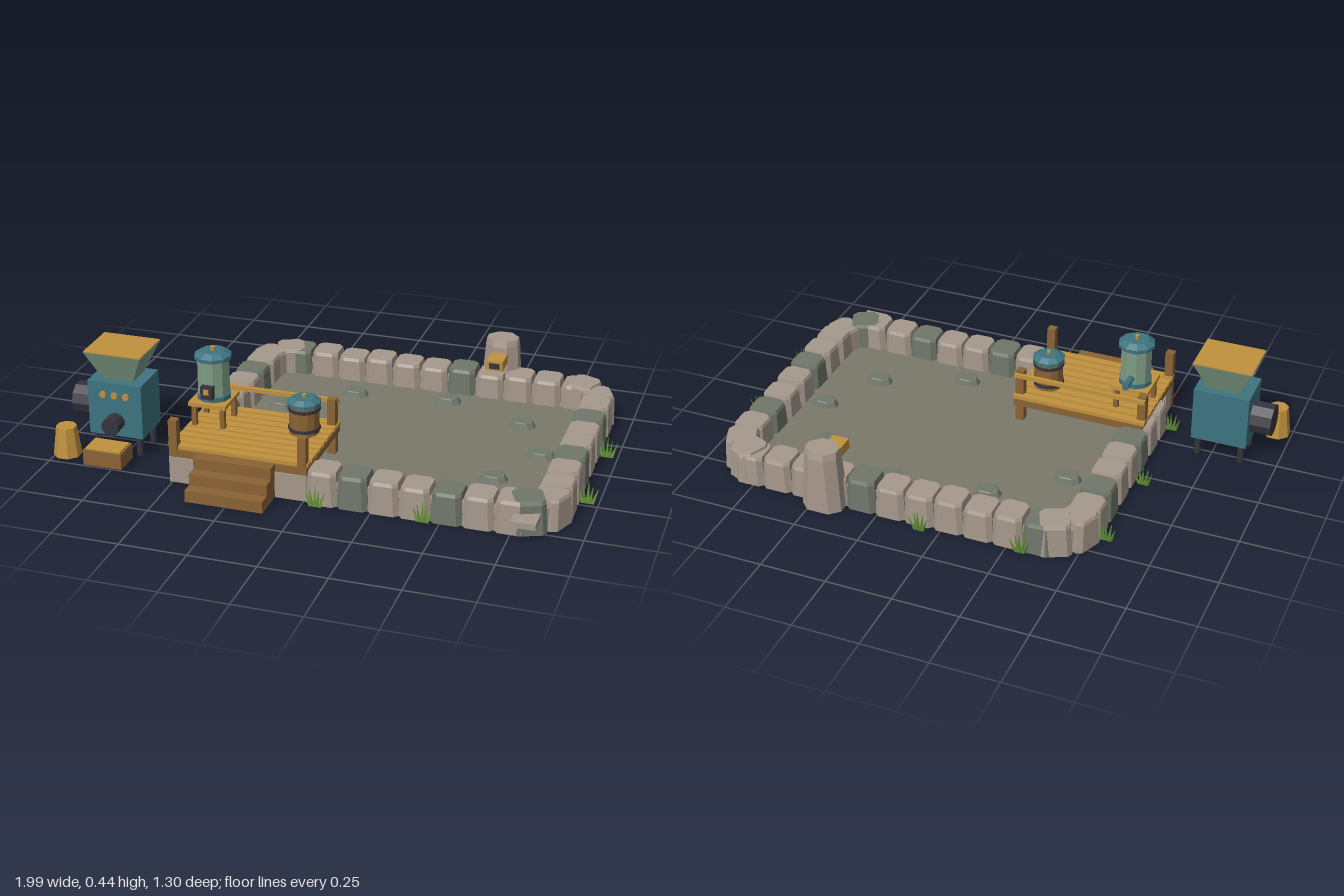
import * as THREE from 'three';

const mat = (name, color, extra = {}) => {
  const m = new THREE.MeshStandardMaterial({ color, flatShading: true, ...extra });
  m.name = name;
  return m;
};

// Closed solid from stacked rings, listed bottom to top; each ring runs anticlockwise seen from above.
function loft(rings) {
  const pos = [];
  const tri = (...pts) => pts.forEach((p) => pos.push(...p));
  const n = rings[0].length;
  for (let r = 0; r < rings.length - 1; r++) {
    const a = rings[r], b = rings[r + 1];
    for (let i = 0; i < n; i++) {
      const j = (i + 1) % n;
      tri(a[i], a[j], b[j]);
      tri(a[i], b[j], b[i]);
    }
  }
  const lo = rings[0], hi = rings[rings.length - 1];
  for (let i = 1; i < n - 1; i++) {
    tri(hi[0], hi[i], hi[i + 1]);
    tri(lo[0], lo[i + 1], lo[i]);
  }
  const g = new THREE.BufferGeometry();
  g.setAttribute('position', new THREE.Float32BufferAttribute(pos, 3));
  g.computeVertexNormals();
  return g;
}

// Rectangle with cut corners at height y
function cutRect(w, d, y, c) {
  const x = w / 2, z = d / 2;
  return [[x, y, z - c], [x, y, -z + c], [x - c, y, -z], [-x + c, y, -z],
    [-x, y, -z + c], [-x, y, z - c], [-x + c, y, z], [x - c, y, z]];
}

const stoneGeo = (w, d, h, taper, cut) => loft([
  cutRect(w, d, 0, cut),
  cutRect(w * taper, d * (taper + 0.05), h * 0.9, cut),
  cutRect(w * (taper - 0.04), d * (taper - 0.04), h, cut),
]);

// Rounded rectangle in plan, y of the shape = -z
function roundRect(x0, x1, z0, z1, r) {
  const s = new THREE.Shape();
  s.absarc(x1 - r, -z0 - r, r, 0, Math.PI / 2);
  s.absarc(x0 + r, -z0 - r, r, Math.PI / 2, Math.PI);
  s.absarc(x0 + r, -z1 + r, r, Math.PI, Math.PI * 1.5);
  s.absarc(x1 - r, -z1 + r, r, Math.PI * 1.5, Math.PI * 2);
  s.closePath();
  return s;
}
const slab = (shape, h) => new THREE.ExtrudeGeometry(shape, { depth: h, bevelEnabled: false, curveSegments: 4 }).rotateX(-Math.PI / 2);

export function createModel() {
  const model = new THREE.Group();
  model.name = 'pond';
  const stone = mat('light stone', 0xa6988c), moss = mat('mossy stone', 0x70776a), bed = mat('pond bed', 0x7b796b);
  const wood = mat('brown wood', 0x8b6335), plank = mat('golden wood', 0xc0913d);
  const teal = mat('teal paint', 0x3d7480), sage = mat('sage metal', 0x7f9c84), dark = mat('dark metal', 0x35343e);
  const green = mat('grass green', 0x5f8d36, { side: THREE.DoubleSide });

  const add = (name, geo, material, x = 0, y = 0, z = 0, parent = model) => {
    const m = new THREE.Mesh(geo, material);
    m.name = name;
    m.position.set(x, y, z);
    parent.add(m);
    return m;
  };
  // Box by its limits
  const box = (name, material, x0, x1, y0, y1, z0, z1, parent) =>
    add(name, new THREE.BoxGeometry(x1 - x0, y1 - y0, z1 - z0), material, (x0 + x1) / 2, (y0 + y1) / 2, (z0 + z1) / 2, parent);
  // Upright cylinder by its bottom and top heights
  const drum = (name, material, x, z, y0, y1, r0, r1 = r0, n = 8, parent = model) =>
    add(name, new THREE.CylinderGeometry(r1, r0, y1 - y0, n).rotateY(Math.PI / n), material, x, (y0 + y1) / 2, z, parent);
  const group = (name) => {
    const g = new THREE.Group();
    g.name = name;
    model.add(g);
    return g;
  };

  // Pond bed and the core of the rim
  add('pondBed', slab(roundRect(-0.5, 0.89, -0.55, 0.5, 0.13), 0.025), bed);
  const core = roundRect(-0.515, 0.905, -0.565, 0.515, 0.14);
  core.holes.push(roundRect(-0.445, 0.835, -0.495, 0.445, 0.08));
  add('rimCore', slab(core, 0.09), stone);

  // Rim stones
  const rim = group('rimStones');
  const P = 0.1133;
  let count = 0;
  const rimStone = (x, z, turn, mossy, w = 0.118) => {
    const h = 0.122 + 0.005 * Math.sin(count++ * 2.4);
    add('rimStone', stoneGeo(w, 0.125, h, 0.88, 0.018), mossy ? moss : stone, x, 0, z, rim).rotation.y = turn;
  };
  for (let i = 0; i < 11; i++) rimStone(-0.364 + P * i, -0.53, 0, i === 0 || i === 6);
  for (let i = 0; i < 7; i++) {
    rimStone(0.067 + P * i, 0.475, 0, i === 1 || i === 4);
    rimStone(0.87, -0.358 + P * i, Math.PI / 2, i === 1 || i === 4);
    rimStone(-0.48, -0.383 + P * i, Math.PI / 2, i === 1 || i === 4);
  }
  for (const [cx, cz, start] of [[0.75, -0.41, -90], [-0.36, -0.41, 180], [0.75, 0.355, 0]]) {
    for (const a of [22.5, 67.5]) {
      const t = THREE.MathUtils.degToRad(start + a), c = Math.cos(t), s = Math.sin(t);
      rimStone(cx + 0.12 * c, cz + 0.12 * s, Math.atan2(c, s), start === 0 && a > 45, 0.125);
    }
  }
  box('deckFoundation', stone, -0.51, 0.01, 0, 0.1, 0.42, 0.52);
  box('overflowSlab', stone, 0.76, 0.85, 0.063, 0.085, 0.47, 0.595);

  // Stones lying on the bed
  for (const [x, z] of [[-0.08, -0.345], [0.285, -0.39], [0.61, -0.265], [-0.32, -0.155], [0.735, -0.03], [0.61, 0.2], [0.285, 0.325]])
    add('bedStone', stoneGeo(0.105, 0.07, 0.025, 0.8, 0.02), moss, x, 0.024, z);

  // Pillar with its spout
  add('pillar', stoneGeo(0.155, 0.13, 0.243, 0.82, 0.035), stone, 0.455, 0, -0.587);
  box('spout', plank, 0.423, 0.488, 0.157, 0.197, -0.55, -0.443);
  box('spoutMouth', dark, 0.435, 0.476, 0.166, 0.188, -0.446, -0.439);

  // Deck
  const deck = group('deck');
  box('deckFrame', wood, -0.51, 0.01, 0.1, 0.128, 0.13, 0.515, deck);
  for (let i = 0; i < 9; i++) {
    const z = 0.132 + i * 0.0428;
    box('deckPlank', plank, -0.513, 0.013, 0.127, 0.142, z, z + 0.032, deck);
  }
  for (const x of [-0.495, -0.008])
    for (const z of [0.165, 0.5]) box('deckPost', wood, x - 0.016, x + 0.016, 0, 0.243, z - 0.016, z + 0.016, deck);
  box('backRail', plank, -0.51, 0.01, 0.218, 0.234, 0.137, 0.152, deck);
  for (let i = 0; i < 3; i++)
    box('step', wood, -0.4, -0.108, 0, 0.045 + i * 0.0425, 0.51, 0.65 - i * 0.045, deck);

  // Filter tank on its table
  const tank = group('filterTank'), tx = -0.432, tz = 0.262;
  box('tableTop', plank, tx - 0.072, tx + 0.072, 0.222, 0.237, 0.192, 0.342, tank);
  for (const x of [-0.055, 0.055])
    for (const z of [-0.055, 0.06]) box('tableLeg', wood, tx + x - 0.009, tx + x + 0.009, 0.14, 0.223, tz + z - 0.009, tz + z + 0.009, tank);
  drum('tankFoot', teal, tx, tz, 0.237, 0.255, 0.064, 0.064, 10, tank);
  drum('tankBody', sage, tx, tz, 0.255, 0.395, 0.06, 0.06, 10, tank);
  drum('tankRim', teal, tx, tz, 0.393, 0.407, 0.07, 0.07, 10, tank);
  drum('tankLid', teal, tx, tz, 0.407, 0.422, 0.07, 0.045, 10, tank);
  drum('tankKnob', plank, tx, tz, 0.42, 0.436, 0.009, 0.009, 8, tank);
  add('tankPipe', new THREE.CylinderGeometry(0.014, 0.014, 0.1, 8).rotateX(Math.PI / 2), teal, tx, 0.278, 0.19, tank);
  box('tankPanel', dark, tx - 0.023, tx + 0.023, 0.255, 0.305, 0.31, 0.34, tank);
  box('tankGauge', plank, tx - 0.01, tx + 0.01, 0.275, 0.296, 0.338, 0.344, tank);

  // Wooden barrel
  const barrel = group('barrel'), bx = -0.085, bz = 0.257;
  const staves = new THREE.CylinderGeometry(0.056, 0.056, 0.115, 12, 1);
  staves.clearGroups();
  for (let i = 0; i < 12; i++) staves.addGroup(i * 6, 6, 0);
  staves.addGroup(72, 72, 0);
  add('barrelBody', staves, [wood], bx, 0.1985, bz, barrel);
  for (const y of [0.155, 0.232]) drum('barrelHoop', dark, bx, bz, y, y + 0.012, 0.06, 0.06, 12, barrel);
  drum('barrelRim', teal, bx, bz, 0.254, 0.266, 0.063, 0.063, 10, barrel);
  drum('barrelLid', teal, bx, bz, 0.266, 0.28, 0.063, 0.04, 10, barrel);
  drum('barrelKnob', plank, bx, bz, 0.279, 0.292, 0.008, 0.008, 8, barrel);

  // Hopper machine
  const mill = group('hopperMachine'), mx = -0.78, mz = 0.29;
  box('millBody', teal, -0.887, -0.675, 0.075, 0.287, 0.208, 0.375, mill);
  for (const x of [-0.865, -0.698])
    for (const z of [0.23, 0.353]) drum('millLeg', dark, x, z, 0, 0.08, 0.012, 0.012, 8, mill);
  add('hopper', loft([cutRect(0.12, 0.1, 0.285, 0.001), cutRect(0.226, 0.192, 0.402, 0.001)]), sage, mx, 0, mz, mill);
  box('hopperGrain', plank, mx - 0.112, mx + 0.112, 0.4, 0.406, mz - 0.095, mz + 0.095, mill);
  add('millMotor', new THREE.CylinderGeometry(0.062, 0.062, 0.085, 10).rotateZ(Math.PI / 2), dark, -0.925, 0.173, mz, mill);
  add('millOutlet', new THREE.CylinderGeometry(0.035, 0.035, 0.06, 10).rotateX(Math.PI / 2), dark, mx, 0.135, 0.4, mill);
  for (const x of [-0.045, 0, 0.045])
    add('millButton', new THREE.CylinderGeometry(0.013, 0.013, 0.012, 8).rotateX(Math.PI / 2), plank, mx + x, 0.24, 0.378, mill);

  // Feed crate
  const crate = group('crate');
  box('crateBase', wood, -0.856, -0.706, 0.01, 0.07, 0.405, 0.51, crate);
  box('crateFeed', plank, -0.849, -0.713, 0.069, 0.075, 0.412, 0.503, crate);

  // Feed bucket
  drum('feedBucket', plank, -0.945, 0.452, 0.015, 0.13, 0.053, 0.038);

  // Grass tufts, each a fan of flat blades
  const tufts = [[-0.305, -0.6], [0.075, -0.615], [-0.562, -0.42], [-0.575, -0.05], [-0.56, 0.335],
    [0.96, -0.15], [0.96, 0.23], [0.05, 0.545], [0.44, 0.54]];
  for (const [x, z] of tufts) {
    const tuft = group('grassTuft');
    tuft.position.set(x, 0, z);
    for (let i = -2; i <= 2; i++) {
      const h = 0.08 - Math.abs(i) * 0.011, b = i * 0.008, tip = i * 0.018, dz = 0.006 * (i % 2 ? 1 : -1);
      add('grassBlade', loft([
        [[b + 0.007, 0, 0.003], [b, 0, -0.004], [b - 0.007, 0, 0.003]],
        [[tip + 0.001, h, dz], [tip, h, dz - 0.001], [tip - 0.001, h, dz]],
      ]), green, 0, 0, 0, tuft);
    }
  }
  return model;
}
